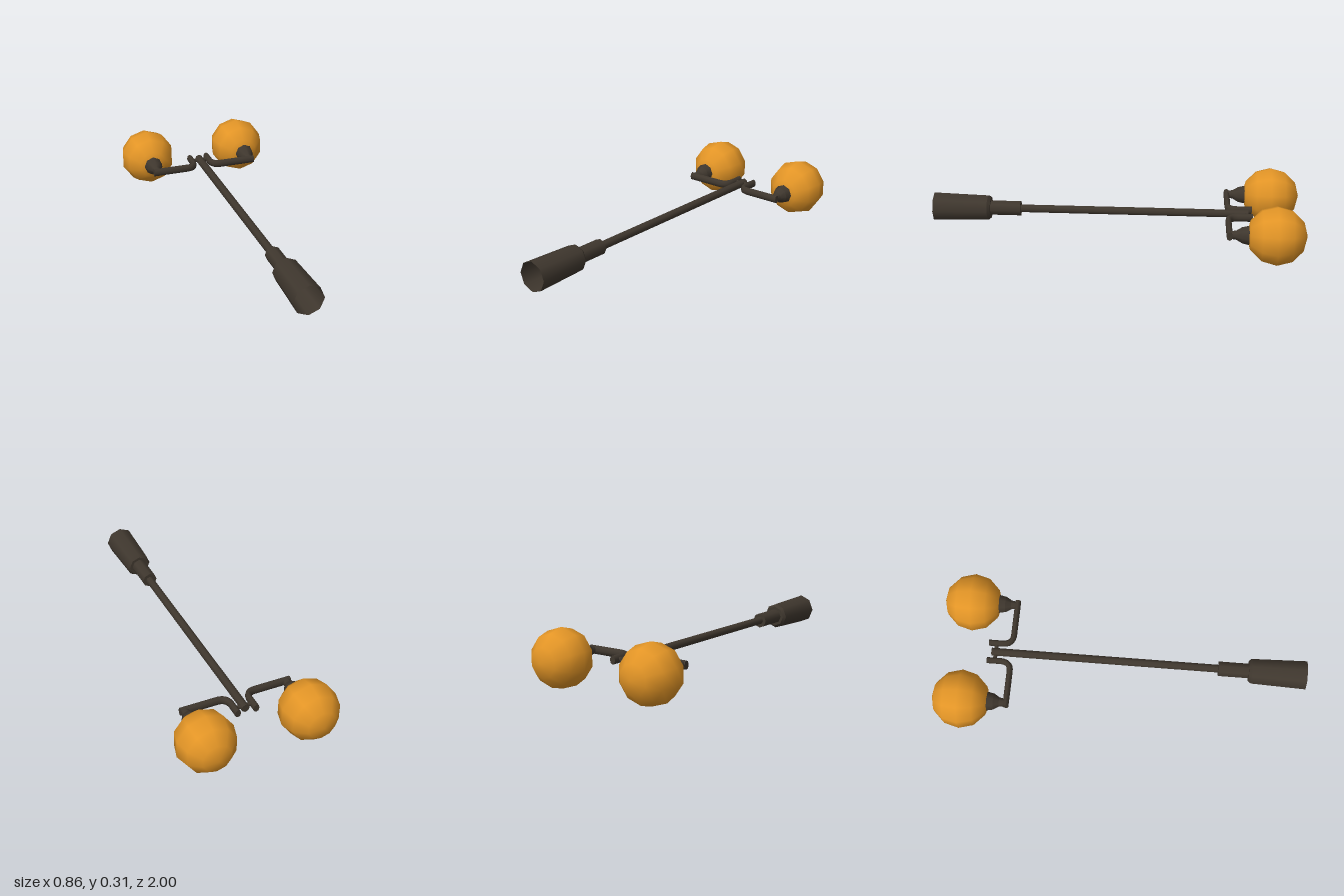
import * as THREE from 'three';

const metal = new THREE.MeshStandardMaterial({ name: 'darkBronze', color: 0x3f372e, side: THREE.DoubleSide });
const glass = new THREE.MeshStandardMaterial({ name: 'amberGlass', color: 0xe39526 });
const AXIS_Y = 0.164;

// Turned part along -z; profile entries are [radius, z], repeated points make sharp edges
function turned(name, profile, sides = 8) {
  const pts = [];
  profile.forEach(([r, z], i) => {
    pts.push(new THREE.Vector2(r, -z));
    if (i > 0 && i < profile.length - 1) pts.push(new THREE.Vector2(r, -z));
  });
  const geo = new THREE.LatheGeometry(pts, sides);
  geo.rotateX(-Math.PI / 2);
  const mesh = new THREE.Mesh(geo, metal);
  mesh.name = name;
  return mesh;
}

// Bent arm: prong beside the pole, rounded corner, straight bar outwards
function makeArm() {
  const v = (x, z) => new THREE.Vector3(x, 0, z);
  const path = new THREE.CurvePath();
  path.add(new THREE.LineCurve3(v(0.051, -0.73), v(0.051, -0.65)));
  path.add(new THREE.QuadraticBezierCurve3(v(0.051, -0.65), v(0.055, -0.6), v(0.105, -0.6)));
  path.add(new THREE.LineCurve3(v(0.105, -0.6), v(0.307, -0.6)));
  const group = new THREE.Group();
  const tube = new THREE.Mesh(new THREE.TubeGeometry(path, 24, 0.0165, 8), metal);
  tube.name = 'armTube';
  group.add(tube);
  // End caps
  [[0.051, -0.73, Math.PI], [0.307, -0.6, Math.PI / 2]].forEach(([x, z, turn]) => {
    const cap = new THREE.Mesh(new THREE.CircleGeometry(0.0165, 8), metal);
    cap.position.set(x, 0, z);
    cap.rotation.y = turn;
    cap.name = 'armCap';
    group.add(cap);
  });
  group.scale.y = 1.4;
  group.name = 'arm';
  return group;
}

function makeLamp() {
  const lamp = new THREE.Group();
  lamp.add(makeArm());

  // Flared holder under the globe
  const holder = turned('globeHolder', [
    [0, -0.6], [0.02, -0.6], [0.026, -0.635], [0.045, -0.665], [0.053, -0.7], [0, -0.71],
  ]);
  holder.position.x = 0.284;
  lamp.add(holder);

  // Faceted globe with its pole along z
  const geo = new THREE.SphereGeometry(0.157, 10, 6);
  geo.rotateY(Math.PI / 2).rotateX(-Math.PI / 2);
  const globe = new THREE.Mesh(geo, glass);
  globe.position.set(0.282, 0.0015, -0.843);
  globe.name = 'globe';
  lamp.add(globe);
  return lamp;
}

export function createModel() {
  const model = new THREE.Group();
  model.name = 'streetLamp';

  // Hollow base, collar and slim pole, lying along z
  const post = new THREE.Group();
  post.name = 'post';
  post.position.y = AXIS_Y;
  post.add(
    turned('base', [[0.081, 1], [0.071, 0.705], [0.058, 0.69], [0.042, 0.69]]),
    turned('collar', [[0.042, 0.7], [0.042, 0.527], [0.02, 0.527]]),
    turned('pole', [[0, 0.54], [0.0225, 0.54], [0.0225, -0.71], [0, -0.71]]),
  );
  model.add(post);

  // Pin joining both prongs to the pole
  const pin = new THREE.Mesh(new THREE.CylinderGeometry(0.011, 0.011, 0.1, 8), metal);
  pin.rotation.z = Math.PI / 2;
  pin.position.set(0, AXIS_Y, -0.688);
  pin.name = 'pin';
  model.add(pin);

  // Two lamps, mirrored left and right
  [1, -1].forEach((side) => {
    const lamp = makeLamp();
    lamp.scale.x = side;
    lamp.position.y = AXIS_Y - 0.001;
    lamp.name = side > 0 ? 'leftLamp' : 'rightLamp';
    model.add(lamp);
  });
  return model;
}
